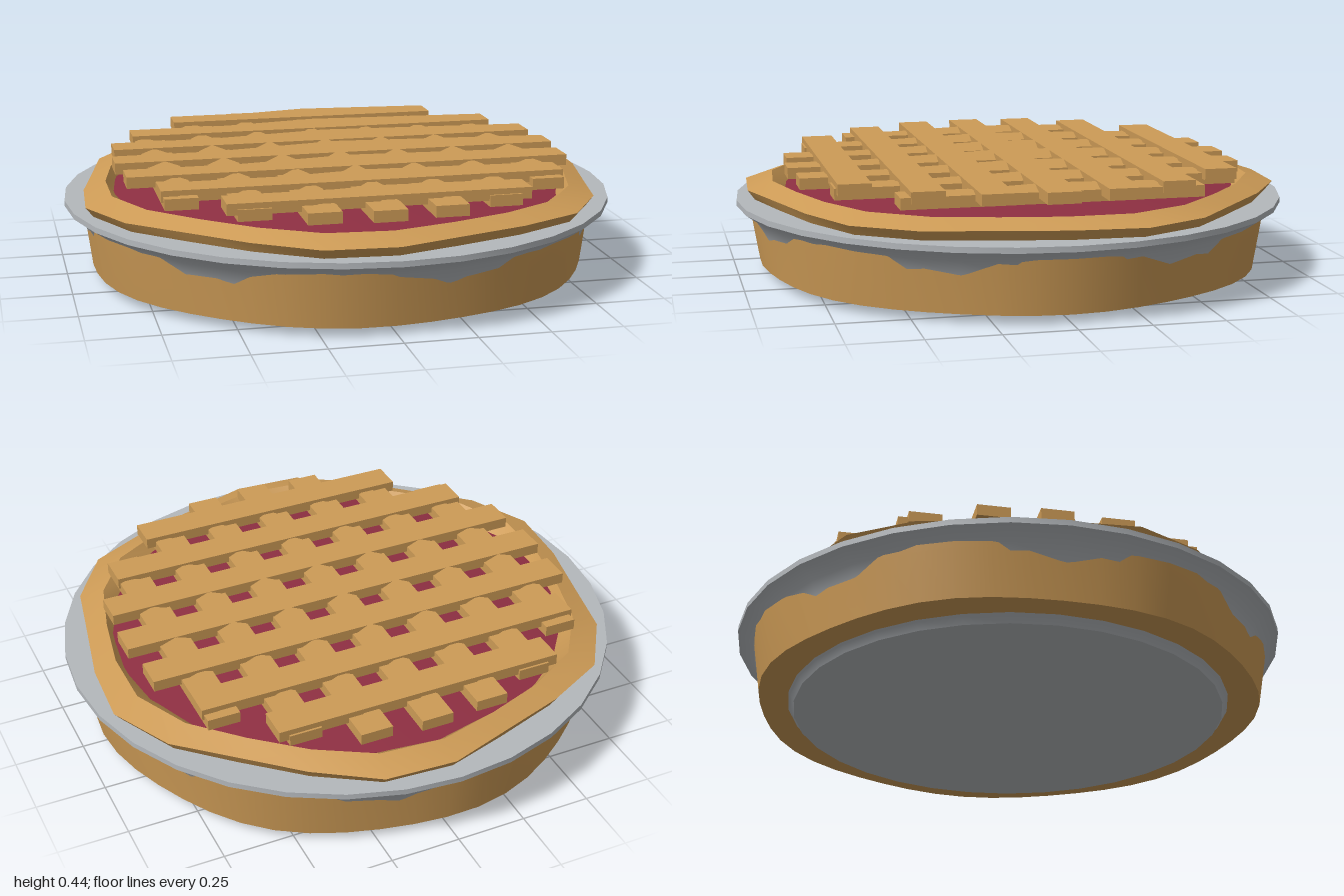
import * as THREE from 'three';
import { toCreasedNormals } from 'three/addons/utils/BufferGeometryUtils.js';

const crust = new THREE.MeshStandardMaterial({ name: 'baked crust', color: 0xcd9b56 });
const fruit = new THREE.MeshStandardMaterial({ name: 'red filling', color: 0x8e2f42 });
const metal = new THREE.MeshStandardMaterial({ name: 'grey dish', color: 0xb4b8bc });

// Turned shape; profile points are [radius, y, wobble amount], wobble shifts the radius by angle
function turned(name, profile, segments, material, lobes = 0, peak = 0, crease = 0.6) {
  const points = profile.map(([r, y]) => new THREE.Vector2(r, y));
  const geometry = new THREE.LatheGeometry(points, segments);
  const pos = geometry.attributes.position;
  for (let i = 0; i < pos.count; i++) {
    const [r, , amount = 0] = profile[i % profile.length];
    if (!amount) continue;
    const angle = Math.atan2(pos.getZ(i), pos.getX(i));
    const k = 1 + (amount * Math.cos(lobes * (angle - peak))) / r;
    pos.setX(i, pos.getX(i) * k);
    pos.setZ(i, pos.getZ(i) * k);
  }
  const mesh = new THREE.Mesh(toCreasedNormals(geometry, crease), material);
  mesh.name = name;
  return mesh;
}

// Dough strip along x whose middle is gently raised
function strip(name, length, rise) {
  const width = 0.115, height = 0.04;
  const geometry = new THREE.BoxGeometry(length, height, width, 2, 1, 2);
  const pos = geometry.attributes.position;
  for (let i = 0; i < pos.count; i++) {
    const centred = Math.abs(pos.getX(i)) < 1e-4 && Math.abs(pos.getZ(i)) < 1e-4;
    if (centred && pos.getY(i) > 0) pos.setY(i, pos.getY(i) + rise);
  }
  const mesh = new THREE.Mesh(geometry, crust);
  mesh.name = name;
  return mesh;
}

export function createModel() {
  const pie = new THREE.Group();
  pie.name = 'latticePie';

  // Flared dish with a thin lip
  pie.add(turned('dish', [
    [0, 0], [0.785, 0], [0.8, 0.025], [0.88, 0.09], [0.923, 0.165],
    [0.943, 0.215], [1, 0.255], [1, 0.275], [0.8, 0.275], [0, 0.275],
  ], 32, metal));

  // Wavy outer wall, swallowed by the flare of the dish
  pie.add(turned('crustWall', [
    [0.7, 0.03], [0.913, 0.03, 0.008], [0.938, 0.2, 0.012], [0.945, 0.25, 0.012], [0.7, 0.25],
  ], 48, crust, 7, 0));

  // Uneven rolled edge
  pie.add(turned('crustRim', [
    [0.8, 0.27], [0.92, 0.272, 0.03], [0.945, 0.31, 0.036],
    [0.86, 0.34, 0.022], [0.815, 0.29], [0.8, 0.27],
  ], 24, crust, 6, THREE.MathUtils.degToRad(41), 0.5));

  // Low dome of filling
  const dome = [];
  for (let i = 0; i <= 6; i++) {
    const r = 0.83 * (1 - i / 6);
    dome.push([r, 0.3 + 0.055 * (1 - (r / 0.83) ** 2)]);
  }
  pie.add(turned('filling', [[0.83, 0.28], ...dome], 32, fruit));

  // Lattice: seven strips each way, trimmed to the round opening
  const lattice = new THREE.Group();
  lattice.name = 'lattice';
  for (let i = -3; i <= 3; i++) {
    const offset = i * 0.215;
    const half = Math.min(0.82, Math.sqrt(0.83 ** 2 - offset ** 2));
    const rise = 0.03 - 0.003 * Math.abs(i);
    const over = strip('upperStrip', half * 2, rise);
    over.position.set(0, 0.395, offset);
    const under = strip('lowerStrip', half * 2, rise);
    under.rotation.y = Math.PI / 2;
    under.position.set(offset, 0.375, 0);
    lattice.add(over, under);
  }
  pie.add(lattice);
  return pie;
}
